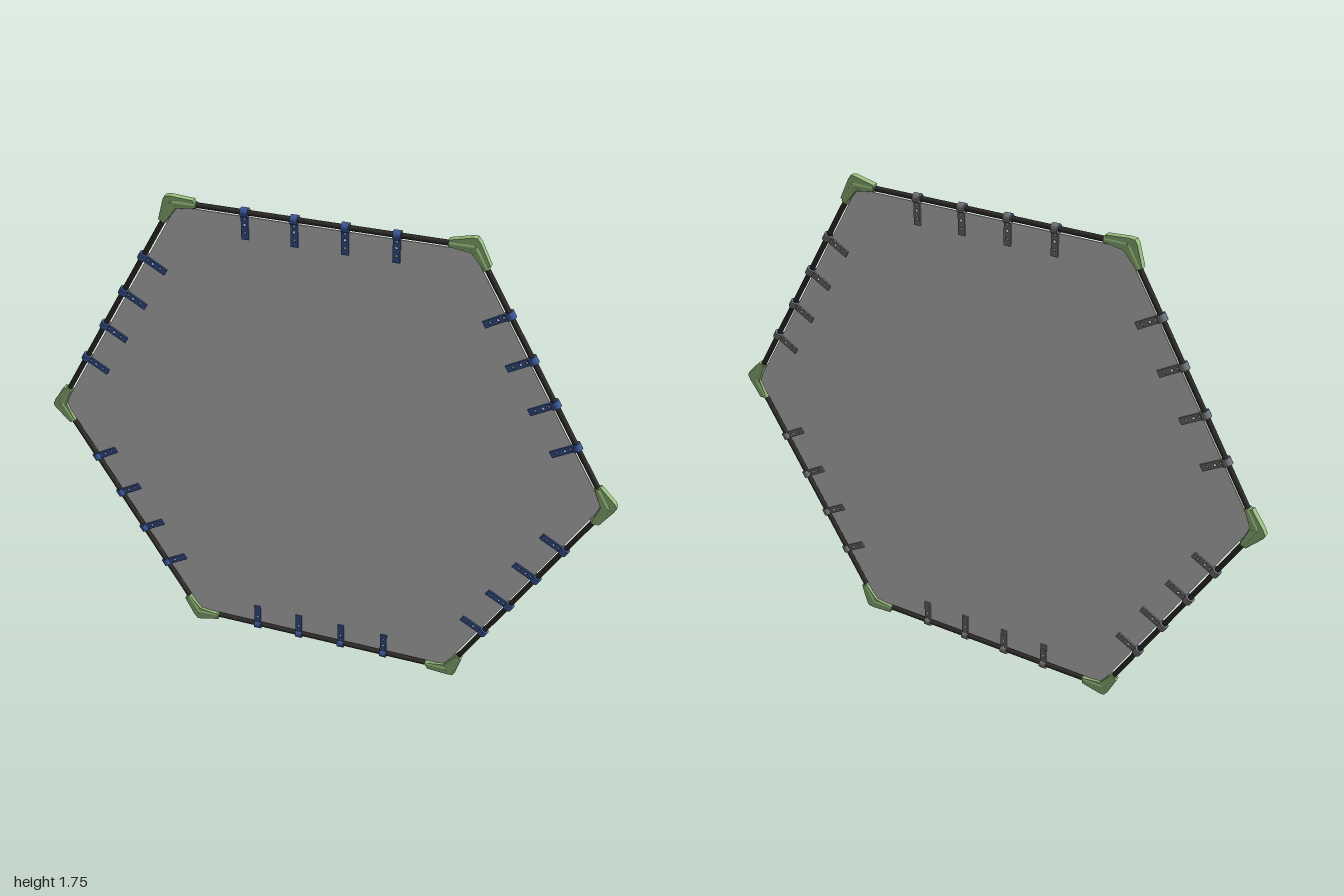
import * as THREE from 'three';

const APOTHEM = 0.84, R = APOTHEM / Math.cos(Math.PI / 6), CENTRE_Y = 0.872;
const CLIP_X = [-0.245, -0.082, 0.082, 0.245];
const HOLE_R = 0.8; // distance from the centre line to the through hole

const mat = (color) => new THREE.MeshStandardMaterial({ color });

function mesh(name, geometry, material, parent) {
  const m = new THREE.Mesh(geometry, material);
  m.name = name;
  parent.add(m);
  return m;
}

function circleHole(x, y, r) {
  return new THREE.Path().absarc(x, y, r, 0, Math.PI * 2, true);
}

const polygon = (pts) => new THREE.Shape(pts.map(([x, y]) => new THREE.Vector2(x, y)));

// Thin hexagonal sheet, pierced under every clip
function panelGeometry() {
  const r = 0.826 / Math.cos(Math.PI / 6), pts = [];
  for (let i = 0; i < 6; i++) {
    const a = i * Math.PI / 3;
    pts.push([r * Math.cos(a), r * Math.sin(a)]);
  }
  const shape = polygon(pts);
  for (let i = 0; i < 6; i++) {
    for (const x of CLIP_X) {
      const p = new THREE.Vector2(x, HOLE_R).rotateAround(new THREE.Vector2(), i * Math.PI / 3);
      shape.holes.push(circleHole(p.x, p.y, 0.005));
    }
  }
  return new THREE.ExtrudeGeometry(shape, { depth: 0.004, bevelEnabled: false }).translate(0, 0, -0.002);
}

// Flat tab of a clip half, with its row of holes
function tabGeometry() {
  const w = 0.012;
  const shape = polygon([[-w, 0.75], [w, 0.75], [w, 0.832], [-w, 0.832]]);
  for (const y of [0.772, HOLE_R, 0.82]) shape.holes.push(circleHole(0, y, 0.005));
  return new THREE.ExtrudeGeometry(shape, { depth: 0.005, bevelEnabled: false }).translate(0, 0, 0.002);
}

// Half ring of a clip that wraps the rod
function collarGeometry() {
  const shape = new THREE.Shape();
  shape.absarc(0, 0, 0.016, 0, Math.PI, false);
  shape.absarc(0, 0, 0.009, Math.PI, 0, true);
  return new THREE.ExtrudeGeometry(shape, { depth: 0.024, bevelEnabled: false, curveSegments: 10 })
    .translate(0, 0, -0.012)
    .applyMatrix4(new THREE.Matrix4().makeBasis(
      new THREE.Vector3(0, -1, 0), new THREE.Vector3(0, 0, 1), new THREE.Vector3(-1, 0, 0)))
    .translate(0, APOTHEM, 0);
}

export function createModel() {
  const model = new THREE.Group();
  model.name = 'hexagonalFrame';
  const frame = new THREE.Group();
  frame.name = 'frame';
  frame.position.y = CENTRE_Y;
  model.add(frame);

  const grey = mat(0xcccccc), dark = mat(0x2e2c2a), green = mat(0x98c080);
  const blue = mat(0x3c5a9c), backGrey = mat(0x777777);

  mesh('panel', panelGeometry(), grey, frame);

  const rodGeo = new THREE.CylinderGeometry(0.009, 0.009, R - 0.03, 16).rotateZ(Math.PI / 2);
  const tabGeo = tabGeometry(), collarGeo = collarGeometry();
  const sleeveGeo = new THREE.CylinderGeometry(0.013, 0.014, 0.078, 16).translate(0, 0.039, 0);

  // Corner web: a bent plate with its tip set a little to one side
  const webShape = polygon([
    [-0.047, 0.066], [-0.028, 0.076], [0.024, 0.022], [0.03, 0.01],
    [0.022, -0.008], [-0.02, -0.07], [-0.043, -0.06], [-0.021, 0],
  ]);
  const webGeo = new THREE.ExtrudeGeometry(webShape, {
    depth: 0.018, bevelThickness: 0.002, bevelSize: 0.001, bevelSegments: 1,
  }).translate(0, 0, -0.009);

  for (let i = 0; i < 6; i++) {
    // One edge: rod with four two-part clips
    const side = new THREE.Group();
    side.name = 'side';
    side.rotation.z = i * Math.PI / 3;
    frame.add(side);
    mesh('rod', rodGeo, dark, side).position.y = APOTHEM;
    for (const x of CLIP_X) {
      for (const [name, material, mirror] of [['frontClip', blue, false], ['backClip', backGrey, true]]) {
        const clip = new THREE.Group();
        clip.name = name;
        clip.position.x = x;
        if (mirror) clip.scale.z = -1;
        side.add(clip);
        mesh('clipTab', tabGeo, material, clip);
        mesh('clipCollar', collarGeo, material, clip);
      }
    }

    // One corner: web plate and two sleeves along the rods
    const corner = new THREE.Group();
    corner.name = 'corner';
    corner.rotation.z = i * Math.PI / 3;
    frame.add(corner);
    mesh('cornerWeb', webGeo, green, corner).position.x = R;
    for (const s of [1, -1]) {
      const sleeve = mesh('cornerSleeve', sleeveGeo, green, corner);
      sleeve.position.x = R;
      sleeve.rotation.z = s > 0 ? Math.PI / 6 : Math.PI * 5 / 6;
    }
  }
  return model;
}
